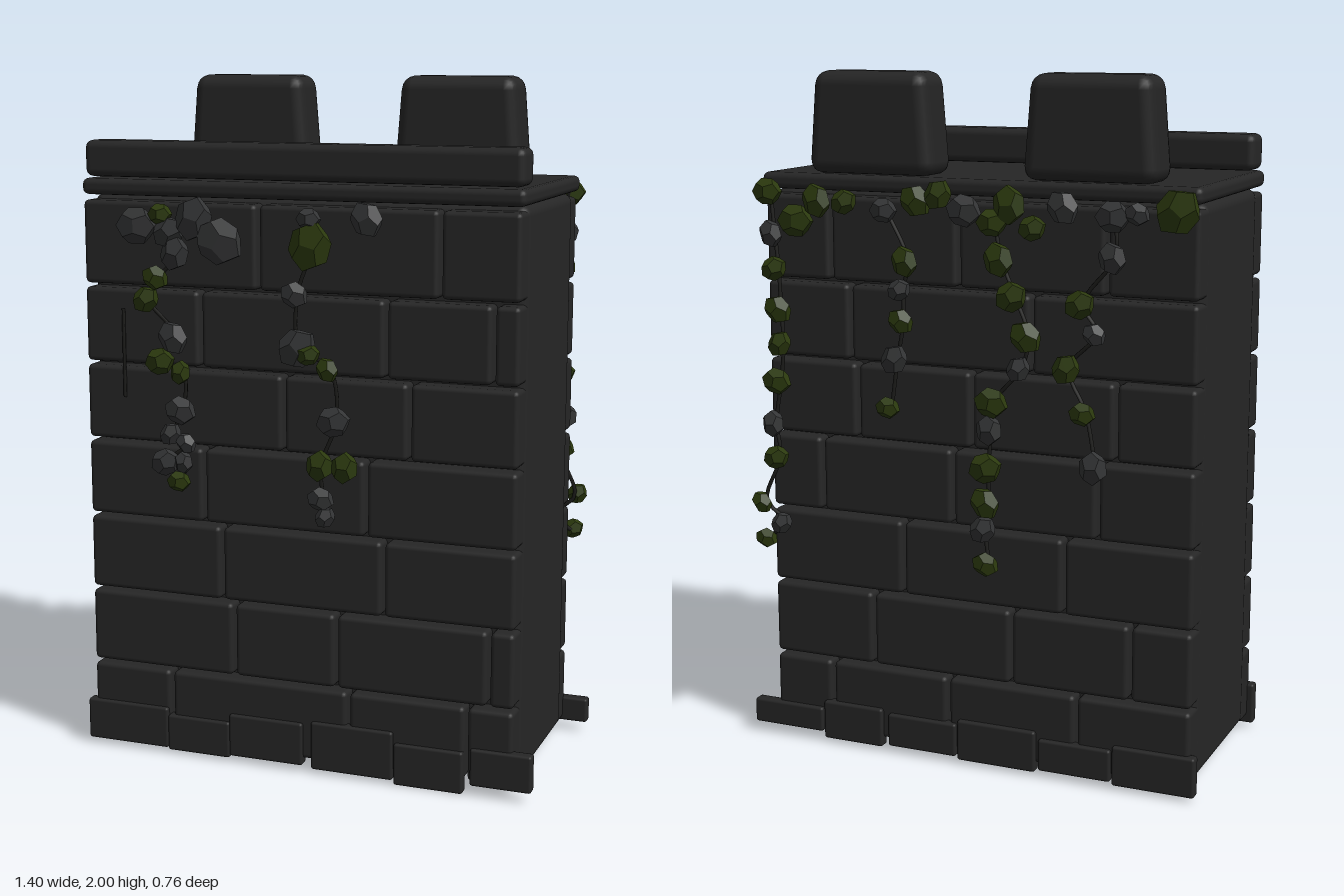
import * as THREE from 'three';
import { RoundedBoxGeometry } from 'three/addons/geometries/RoundedBoxGeometry.js';

const mat = (name, color, flatShading = false) => {
  const m = new THREE.MeshStandardMaterial({ color, flatShading });
  m.name = name;
  return m;
};

export function createModel() {
  const stone = mat('dark stone', 0x262626);
  const greyLeaf = mat('grey leaf', 0x343536, true);
  const greenLeaf = mat('green leaf', 0x2c3a0e, true);
  const stem = mat('stem', 0x1c1c1a);
  const root = new THREE.Group();
  root.name = 'wallSegment';

  const group = (name) => {
    const g = new THREE.Group();
    g.name = name;
    root.add(g);
    return g;
  };
  // Rounded block given by its limits on each axis
  const block = (parent, name, [x0, x1], [y0, y1], [z0, z1], r) => {
    const geo = new RoundedBoxGeometry(x1 - x0, y1 - y0, z1 - z0, 2, r);
    const m = new THREE.Mesh(geo, stone);
    m.name = name;
    m.position.set((x0 + x1) / 2, (y0 + y1) / 2, (z0 + z1) / 2);
    parent.add(m);
    return m;
  };

  // Core, top slab and front ledge
  block(root, 'core', [-0.68, 0.63], [0.03, 1.665], [-0.257, 0.25], 0.03);
  block(root, 'topSlab', [-0.685, 0.637], [1.665, 1.712], [-0.315, 0.308], 0.018);
  block(root, 'frontLedge', [-0.68, 0.63], [1.716, 1.82], [0.195, 0.297], 0.022);

  // Two merlons, narrowing toward the top
  for (const x of [-0.357, 0.303]) {
    const m = block(root, 'merlon', [x - 0.197, x + 0.197], [1.71, 2], [-0.298, -0.14], 0.04);
    const p = m.geometry.attributes.position;
    for (let i = 0; i < p.count; i++) {
      p.setX(i, p.getX(i) * (0.94 - p.getY(i) * 0.42));
    }
  }

  // Brick courses, top to bottom: joint positions along x
  const frontJoints = [
    [-0.135, 0.4], [-0.315, 0.246, 0.553], [-0.06, 0.315], [-0.31, 0.188],
    [-0.256, 0.24], [-0.22, 0.098, 0.553], [-0.425, 0.135, 0.49],
  ];
  const backJoints = [
    [-0.42, 0.02, 0.42], [-0.2, 0.36], [-0.45, -0.02, 0.34], [-0.4, 0.04, 0.46],
    [-0.3, 0.2], [-0.5, -0.14, 0.3], [-0.34, 0.06, 0.44],
  ];
  const wall = (name, joints, zs) => {
    const g = group(name);
    joints.forEach((row, r) => {
      const top = r === 0 ? 1.655 : 1.632 - r * 0.2287;
      const bottom = 1.632 - (r + 1) * 0.2287;
      const xs = [-0.685, ...row, 0.632];
      for (let i = 0; i + 1 < xs.length; i++) {
        block(g, 'brick', [xs[i] + 0.005, xs[i + 1] - 0.005],
          [bottom + 0.006, top - 0.005], zs, 0.014);
      }
    });
  };
  wall('frontBricks', frontJoints, [0.22, 0.308]);
  wall('backBricks', backJoints, [-0.31, -0.22]);

  // Uneven footing stones: x limits and y limits
  const footing = (name, rows, zs) => {
    const g = group(name);
    for (const [x0, x1, y0, y1] of rows) block(g, 'footingStone', [x0, x1], [y0, y1], zs, 0.008);
  };
  footing('frontFooting', [
    [-0.7, -0.435, 0.015, 0.14], [-0.435, -0.235, 0.01, 0.12], [-0.235, -0.003, 0.018, 0.147],
    [0.024, 0.275, 0.012, 0.157], [0.278, 0.485, 0, 0.125], [0.506, 0.686, 0.03, 0.14],
  ], [0.284, 0.32]);
  footing('backFooting', [
    [0.47, 0.703, 0.03, 0.105], [0.27, 0.465, 0.012, 0.13], [0.03, 0.25, 0.02, 0.12],
    [-0.22, 0.025, 0.012, 0.135], [-0.45, -0.23, 0.02, 0.115], [-0.7, -0.455, 0.012, 0.13],
  ], [-0.325, -0.288]);

  // Hanging vines: each leaf is [x, y, radius, green?]; a stem runs through them
  const leafGeo = new THREE.DodecahedronGeometry(1);
  const vine = (name, side, leaves, hasStem = true) => {
    const g = group(name);
    leaves.forEach(([x, y, r, green], i) => {
      const m = new THREE.Mesh(leafGeo, green ? greenLeaf : greyLeaf);
      m.name = 'leaf';
      m.position.set(x, y, side * (0.348 + (i % 3) * 0.004));
      m.scale.set(r * 1.05, r * 0.88, 0.026);
      m.rotation.z = i * 1.3;
      g.add(m);
    });
    if (!hasStem) return;
    const pts = leaves.map(([x, y]) => new THREE.Vector3(x, y, side * 0.328));
    const tube = new THREE.TubeGeometry(new THREE.CatmullRomCurve3(pts), leaves.length * 4, 0.006, 5);
    const s = new THREE.Mesh(tube, stem);
    s.name = 'stem';
    g.add(s);
  };

  vine('frontVineLeft', 1, [
    [-0.415, 1.62, 0.035, 1], [-0.37, 1.51, 0.05], [-0.43, 1.44, 0.04, 1], [-0.465, 1.375, 0.042, 1],
    [-0.38, 1.27, 0.05], [-0.42, 1.2, 0.045, 1], [-0.36, 1.17, 0.035, 1], [-0.36, 1.06, 0.048],
    [-0.39, 0.99, 0.035], [-0.345, 0.965, 0.032], [-0.41, 0.905, 0.045], [-0.35, 0.91, 0.032],
    [-0.37, 0.85, 0.035, 1],
  ]);
  vine('frontLeavesTop', 1, [
    [-0.49, 1.585, 0.062], [-0.31, 1.61, 0.065], [-0.23, 1.55, 0.075], [-0.39, 1.57, 0.05],
    [0.205, 1.625, 0.052], [0.035, 1.245, 0.035, 1], [0.14, 0.93, 0.046, 1],
  ], false);
  vine('frontVineRight', 1, [
    [0.035, 1.62, 0.035], [0.04, 1.545, 0.072, 1], [-0.005, 1.41, 0.042], [0, 1.26, 0.062],
    [0.09, 1.205, 0.036, 1], [0.11, 1.06, 0.05], [0.065, 0.93, 0.046, 1], [0.07, 0.835, 0.04],
    [0.085, 0.785, 0.032],
  ]);
  // Bare twig on the front
  const twig = new THREE.Mesh(new THREE.CylinderGeometry(0.005, 0.005, 0.26, 6), stem);
  twig.name = 'twig';
  twig.position.set(-0.555, 1.21, 0.312);
  root.add(twig);

  vine('backVineEdge', -1, [
    [0.6, 1.66, 0.045, 1], [0.59, 1.54, 0.04], [0.58, 1.44, 0.04, 1], [0.575, 1.32, 0.045, 1],
    [0.57, 1.22, 0.04, 1], [0.58, 1.11, 0.045, 1], [0.6, 0.98, 0.04], [0.59, 0.88, 0.04, 1],
    [0.64, 0.74, 0.034, 1], [0.58, 0.68, 0.035], [0.63, 0.63, 0.034, 1],
  ]);
  vine('backVineInner', -1, [
    [0.23, 1.62, 0.04], [0.165, 1.48, 0.045, 1], [0.18, 1.4, 0.035], [0.18, 1.31, 0.04, 1],
    [0.2, 1.2, 0.045], [0.22, 1.06, 0.036, 1],
  ]);
  vine('backVineLong', -1, [
    [-0.1, 1.6, 0.045, 1], [-0.12, 1.5, 0.05, 1], [-0.16, 1.4, 0.048, 1], [-0.2, 1.29, 0.05, 1],
    [-0.18, 1.2, 0.038], [-0.1, 1.1, 0.05, 1], [-0.09, 1.02, 0.045], [-0.08, 0.91, 0.05, 1],
    [-0.08, 0.81, 0.048, 1], [-0.07, 0.73, 0.042], [-0.08, 0.63, 0.04, 1],
  ]);
  vine('backVineOuter', -1, [
    [-0.45, 1.63, 0.05], [-0.45, 1.52, 0.045], [-0.36, 1.39, 0.045, 1], [-0.4, 1.31, 0.035],
    [-0.32, 1.21, 0.045, 1], [-0.37, 1.09, 0.038, 1], [-0.4, 0.94, 0.048],
  ]);
  vine('backLeavesTop', -1, [
    [0.51, 1.58, 0.055, 1], [0.44, 1.64, 0.05, 1], [0.35, 1.64, 0.04, 1], [0.13, 1.65, 0.05, 1],
    [0.06, 1.67, 0.045, 1], [-0.02, 1.63, 0.052], [-0.15, 1.65, 0.055, 1], [-0.22, 1.59, 0.04, 1],
    [-0.31, 1.65, 0.05], [-0.63, 1.65, 0.068, 1], [-0.52, 1.64, 0.035],
  ], false);

  return root;
}
